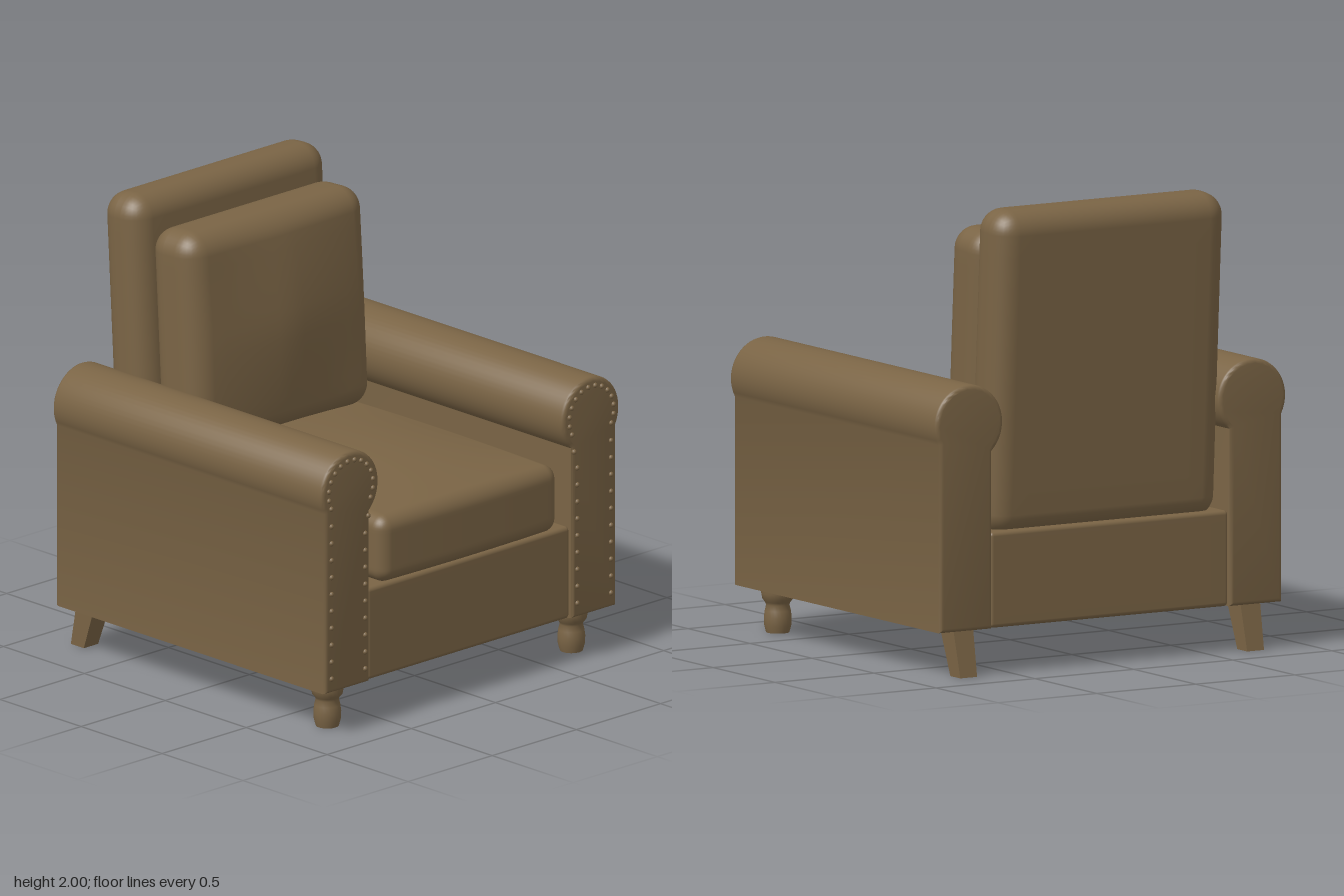
import * as THREE from 'three';
import { mergeVertices, toCreasedNormals } from 'three/addons/utils/BufferGeometryUtils.js';

const leather = new THREE.MeshStandardMaterial({ color: 0x7a6445 });
leather.name = 'brown leather';
const lining = new THREE.MeshStandardMaterial({ color: 0x444444 });
lining.name = 'dark lining';

function add(parent, name, geometry, x = 0, y = 0, z = 0, material = leather) {
  const mesh = new THREE.Mesh(geometry, material);
  mesh.name = name;
  mesh.position.set(x, y, z);
  parent.add(mesh);
  return mesh;
}

// Soft block with rounded edges; warp(p, u, v, w) may move each vertex (u, v, w run -1..1)
function softBlock(w, h, d, r, warp) {
  let g = new THREE.BoxGeometry(1, 1, 1, 20, 20, 20);
  g.deleteAttribute('normal');
  g.deleteAttribute('uv');
  g = mergeVertices(g);
  const half = [w / 2, h / 2, d / 2];
  // The outer fifth of each axis goes to the rounded zone, the rest to the flat
  const place = (t, size) => {
    const a = Math.abs(t) * 2, flat = size - r;
    const out = a <= 0.6 ? (a / 0.6) * flat : flat + r * Math.tan(((a - 0.6) / 0.4) * Math.PI / 4);
    return Math.sign(t) * out;
  };
  const pos = g.attributes.position;
  const p = new THREE.Vector3(), core = new THREE.Vector3();
  for (let i = 0; i < pos.count; i++) {
    p.set(place(pos.getX(i), half[0]), place(pos.getY(i), half[1]), place(pos.getZ(i), half[2]));
    core.set(...p.toArray().map((c, k) => THREE.MathUtils.clamp(c, r - half[k], half[k] - r)));
    p.sub(core).setLength(r).add(core);
    if (warp) warp(p, p.x / half[0], p.y / half[1], p.z / half[2]);
    pos.setXYZ(i, p.x, p.y, p.z);
  }
  g.computeVertexNormals();
  return g;
}

// Arm cross-section: straight post with a rolled top
function armGeometry(side) {
  const cx = 0.715, cy = 1.095, r = 0.17;
  const pts = [[0.6, 0.2], [0.865, 0.2]];
  const start = Math.atan2(-0.08, 0.15), end = Math.PI + Math.atan2(0.125, 0.115);
  for (let i = 0; i <= 36; i++) {
    const a = start + (end - start) * i / 36;
    pts.push([cx + r * Math.cos(a), cy + r * Math.sin(a)]);
  }
  const shape = new THREE.Shape(pts.map(([x, y]) => new THREE.Vector2(side * x, y)));
  const b = 0.018;
  const g = new THREE.ExtrudeGeometry(shape, {
    depth: 1.67 - 2 * b, bevelThickness: b, bevelSize: b, bevelOffset: -b, bevelSegments: 3,
  });
  g.translate(0, 0, -0.82 + b);
  return toCreasedNormals(g, 0.7);
}

// Positions of the stud row around one arm front
function studPoints() {
  const pts = [];
  for (let i = 0; i < 10; i++) {
    const y = 0.265 + i * 0.0765;
    pts.push([0.83, y]);
    if (i > 0 && i < 9) pts.push([0.63, y]);
  }
  pts.push([0.63, 0.265], [0.612, 0.953]);
  for (let i = 0; i <= 13; i++) {
    const a = THREE.MathUtils.degToRad(-28 + i * 236 / 13);
    pts.push([0.715 + 0.132 * Math.cos(a), 1.095 + 0.132 * Math.sin(a)]);
  }
  return pts;
}

export function createModel() {
  const chair = new THREE.Group();
  chair.name = 'armchair';

  add(chair, 'base', softBlock(1.204, 0.415, 1.64, 0.018), 0, 0.4075, 0.015);

  // Seat cushion with crowned top
  add(chair, 'seatCushion', softBlock(1.06, 0.3, 1.38, 0.06, (p, u, v, w) => {
    if (v > 0) p.y += 0.06 * v * (1 - u * u) * (1 - w * w);
    if (w > 0) p.z += 0.012 * w * (1 - u * u);
  }), 0, 0.763, 0.158);

  // Tilted back and its pillow
  const tilt = -0.057;
  const back = add(chair, 'back', softBlock(1.16, 1.42, 0.24, 0.1), 0, 1.292, -0.7);
  back.rotation.x = tilt;
  const pillow = add(chair, 'backPillow', softBlock(1.06, 0.98, 0.28, 0.1, (p, u, v, w) => {
    if (w > 0) p.z += 0.06 * w * (1 - Math.abs(u) ** 1.2) * (1 - Math.abs(v) ** 1.5);
  }), 0, 1.395, -0.447);
  pillow.rotation.x = tilt;

  const studGeometry = new THREE.SphereGeometry(0.012, 10, 8);
  const footProfile = [[0, 0], [0.05, 0], [0.058, 0.03], [0.06, 0.065], [0.056, 0.095], [0.05, 0.12],
    [0.055, 0.132], [0.066, 0.145], [0.071, 0.17], [0.072, 0.21]].map(([x, y]) => new THREE.Vector2(x, y));
  const footGeometry = toCreasedNormals(new THREE.LatheGeometry(footProfile, 24), 0.7);

  // Splayed, tapered rear leg
  const rearLegGeometry = new THREE.BoxGeometry(0.1, 0.21, 0.11);
  const pos = rearLegGeometry.attributes.position;
  for (let i = 0; i < pos.count; i++) {
    if (pos.getY(i) < 0) {
      pos.setX(i, pos.getX(i) * 0.85);
      pos.setZ(i, pos.getZ(i) * 0.73 - 0.06);
    }
  }
  rearLegGeometry.computeVertexNormals();

  for (const side of [1, -1]) {
    const arm = new THREE.Group();
    arm.name = side > 0 ? 'leftArm' : 'rightArm';
    chair.add(arm);
    add(arm, 'armBody', armGeometry(side));
    add(arm, 'armLining', new THREE.BoxGeometry(0.2, 0.006, 1.58), side * 0.732, 0.199, 0.015, lining);
    for (const [x, y] of studPoints()) add(arm, 'stud', studGeometry, side * x, y, 0.849);
    add(chair, 'frontLeg', footGeometry, side * 0.725, 0, 0.715);
    add(chair, 'rearLeg', rearLegGeometry, side * 0.725, 0.105, -0.725);
  }
  return chair;
}
